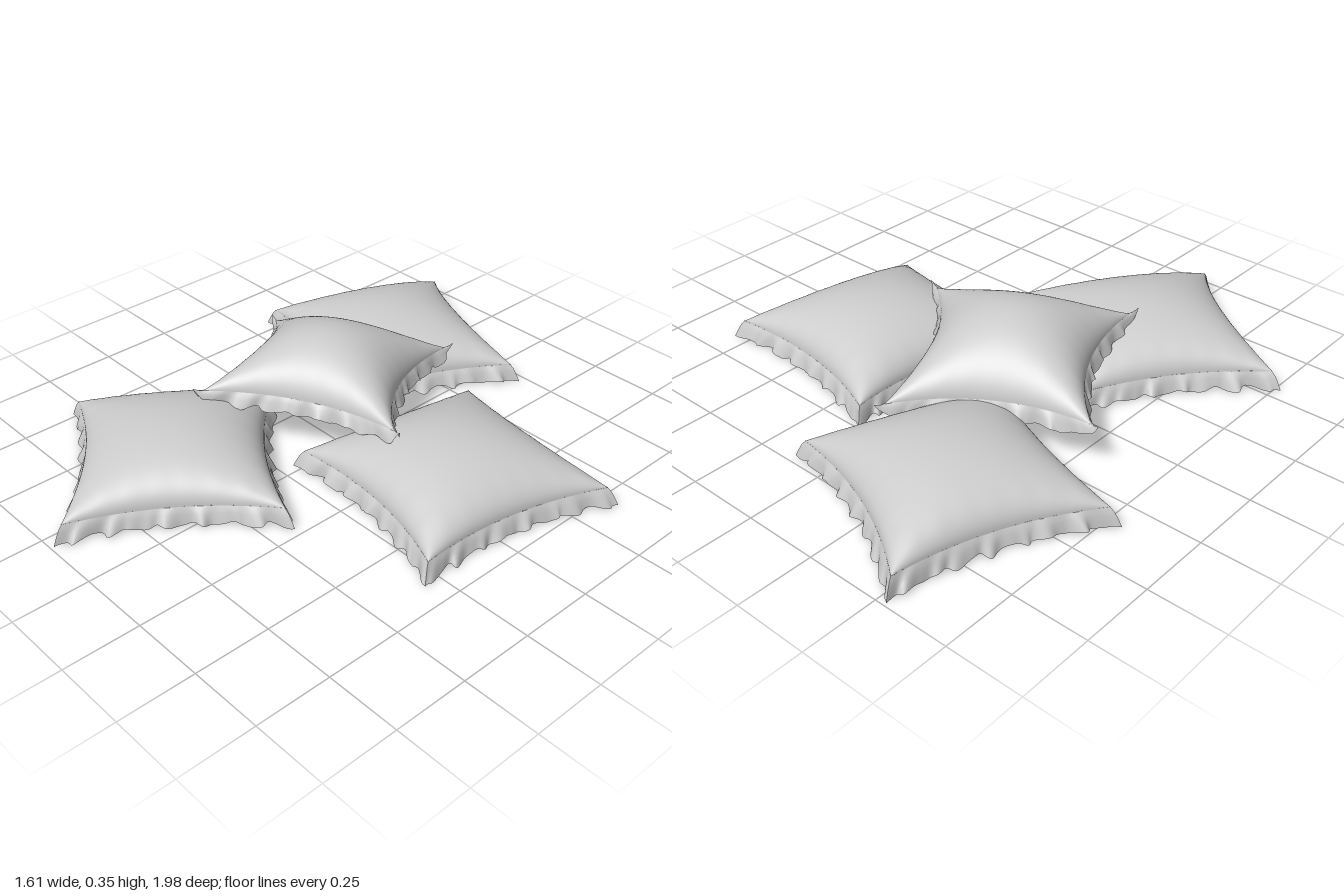
import * as THREE from 'three';

const material = new THREE.MeshStandardMaterial({ color: 0xcccccc, side: THREE.DoubleSide });
const SEAM = 0.93; // seam position between cushion centre (0) and ruffle edge (1)

// Surface from a grid of points given by fn(a, b), a and b in 0..1
function surface(name, na, nb, fn) {
  const pos = [], index = [];
  for (let j = 0; j <= nb; j++)
    for (let i = 0; i <= na; i++) pos.push(...fn(i / na, j / nb));
  for (let j = 0; j < nb; j++)
    for (let i = 0; i < na; i++) {
      const a = j * (na + 1) + i, b = a + na + 1;
      index.push(a, b, a + 1, b, b + 1, a + 1);
    }
  const geo = new THREE.BufferGeometry();
  geo.setAttribute('position', new THREE.Float32BufferAttribute(pos, 3));
  geo.setIndex(index);
  geo.computeVertexNormals();
  const mesh = new THREE.Mesh(geo, material);
  mesh.name = name;
  return mesh;
}

// Cushion spanned by four corners [x, z, seamHeight]: back left, back right, front right, front left
function cushion({ name, corners, pinch, dome, power, belly, drop, seed }) {
  const group = new THREE.Group();
  group.name = name;

  // Bilinear patch with sides drawn inwards between the corners
  const place = (u, v, s) => {
    const pu = s * u * (1 - pinch * (1 - v * v));
    const pv = s * v * (1 - pinch * (1 - u * u));
    const w = [(1 - pu) * (1 - pv), (1 + pu) * (1 - pv), (1 + pu) * (1 + pv), (1 - pu) * (1 + pv)];
    return [0, 1, 2].map(k => corners.reduce((sum, c, i) => sum + c[k] * w[i] / 4, 0));
  };
  const spread = a => Math.sin((a - 0.5) * Math.PI); // finer spacing near the edges
  const fullness = (u, v, p) => Math.pow(Math.max(0, (1 - u * u) * (1 - v * v)), p);

  // Soft puckers where the fabric is gathered into the seam
  const pucker = (u, v) => {
    const m = Math.max(Math.abs(u), Math.abs(v));
    const along = Math.abs(u) > Math.abs(v) ? v : u;
    return 0.003 * Math.sin(along * 24 + seed) * Math.pow(m, 10) * (1 - m) * 5;
  };

  group.add(surface(name + 'Top', 48, 48, (a, b) => {
    const u = spread(a), v = spread(b), [x, z, y] = place(u, v, SEAM);
    return [x, y + dome * fullness(u, v, power) + pucker(u, v), z];
  }));

  // Underside: flat on the floor, or rounded for the cushion lying on the others
  group.add(surface(name + 'Underside', 40, 40, (a, b) => {
    const u = -spread(a), v = spread(b), [x, z, y] = place(u, v, SEAM);
    const m = Math.max(Math.abs(u), Math.abs(v));
    const low = belly ? y - belly * fullness(u, v, 0.6)
      : 0.002 + y * THREE.MathUtils.smoothstep(m, 0.9, 1);
    return [x, low, z];
  }));

  // Gathered ruffle running round all four sides
  const sides = [t => [t, -1], t => [1, t], t => [-t, 1], t => [-1, -t]];
  sides.forEach((side, k) => {
    group.add(surface(name + 'Ruffle', 96, 5, (a, r) => {
      const t = 1 - 2 * a;
      const [u, v] = side(t);
      const fade = 1 - Math.pow(Math.abs(t), 10);
      const fold = Math.sin(25 * t + seed + k * 1.7) + 0.5 * Math.sin(41 * t + seed * 2 + k);
      const lift = 0.5 + 0.5 * Math.sin(21 * t + seed * 3 + k * 2.3);
      const s = SEAM + 0.07 * Math.pow(r, 0.75) + 0.022 * fold * r * fade;
      const [x, z, y] = place(u, v, s);
      // Sideways swing gives the folds their uneven lean
      const swing = 0.008 * r * fade * Math.sin(17 * t + seed + k);
      const hem = drop === undefined
        ? y * (1 - r) + 0.012 * lift * r * fade
        : y - (drop * fade - 0.012 * (1 - fade)) * r + 0.012 * lift * r * fade;
      return [x + swing * Math.abs(v), hem, z + swing * Math.abs(u)];
    }));
  });
  return group;
}

export function createModel() {
  const model = new THREE.Group();
  model.name = 'cushionPile';

  // Three cushions lying on the floor
  const floor = {
    backCushion: [[-0.53, -0.99], [0.13, -0.72], [-0.14, -0.07], [-0.8, -0.34]],
    leftCushion: [[0.09, -0.5], [0.81, -0.4], [0.67, 0.31], [-0.03, 0.2]],
    frontCushion: [[-0.35, -0.02], [0.22, 0.41], [-0.2, 0.99], [-0.77, 0.55]],
  };
  Object.entries(floor).forEach(([name, corners], i) => model.add(cushion({
    name, corners: corners.map(([x, z]) => [x, z, 0.06]),
    pinch: 0.14, dome: 0.14, power: 0.47, seed: 1 + i * 2.1,
  })));

  // Fourth cushion resting on the other three
  model.add(cushion({
    name: 'topCushion',
    corners: [[-0.6, -0.2, 0.16], [-0.03, -0.54, 0.15], [0.3, 0.05, 0.21], [-0.33, 0.36, 0.21]],
    pinch: 0.22, dome: 0.168, power: 0.55, belly: 0.13, drop: 0.055, seed: 8.3,
  }));
  return model;
}
